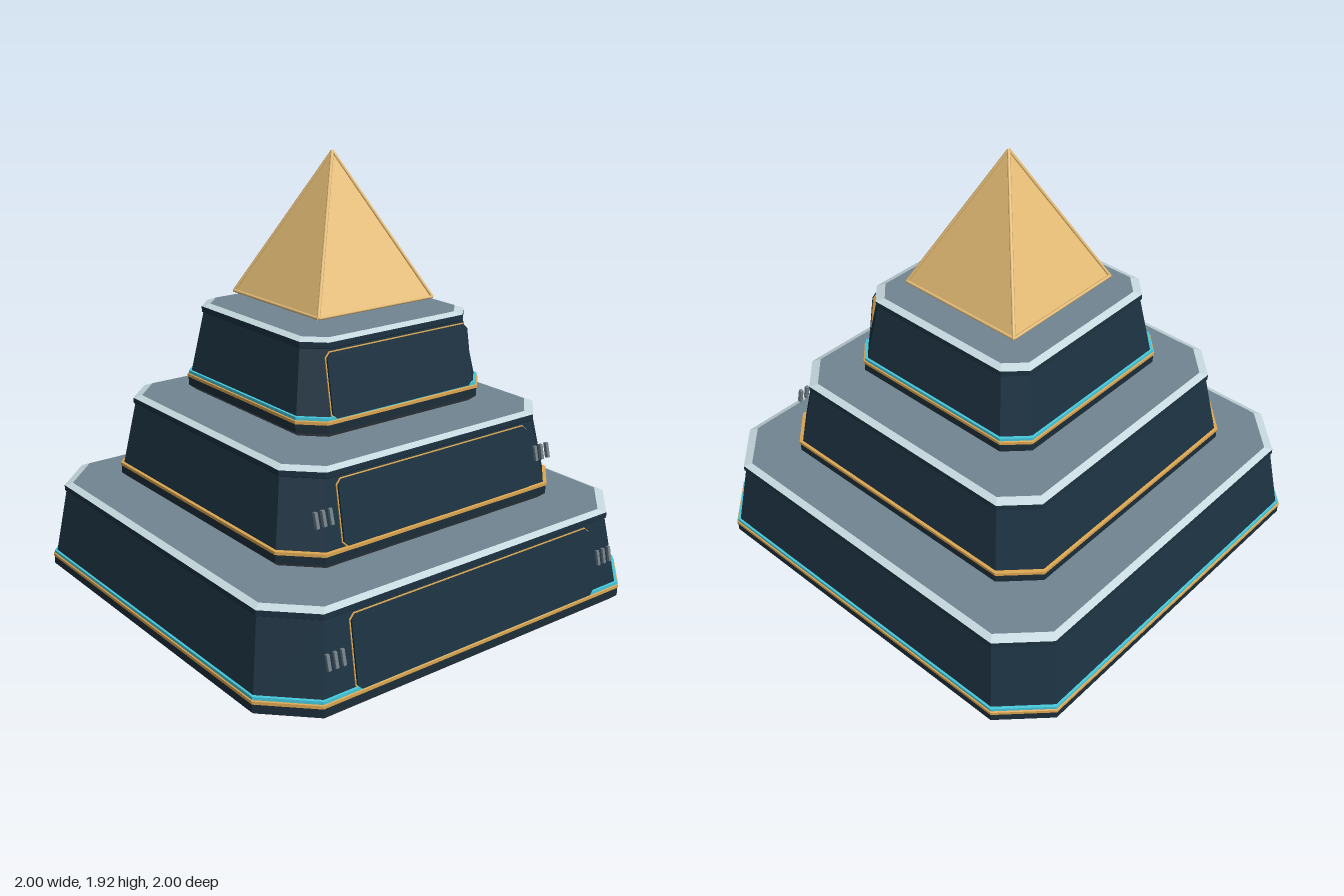
import * as THREE from 'three';

const mat = (name, color) => {
  const m = new THREE.MeshStandardMaterial({ color });
  m.name = name;
  return m;
};

// Chamfered-square ring of eight corners, counter-clockwise from above
function ring(h, y) {
  const k = h * 0.81;
  return [[-k, h], [k, h], [h, k], [h, -k], [k, -h], [-k, -h], [-h, -k], [-h, k]]
    .map(([x, z]) => [x, y, z]);
}

// Faceted loft through [halfWidth, height] pairs, with optional end faces
function loft(profile, capBottom = false, capTop = false) {
  const rings = profile.map(([h, y]) => ring(h, y));
  const pos = [];
  const tri = (a, b, c) => pos.push(...a, ...b, ...c);
  for (let r = 0; r < rings.length - 1; r++) {
    for (let i = 0; i < 8; i++) {
      const j = (i + 1) % 8, lo = rings[r], hi = rings[r + 1];
      tri(lo[i], lo[j], hi[j]);
      tri(lo[i], hi[j], hi[i]);
    }
  }
  const first = rings[0], last = rings[rings.length - 1];
  for (let i = 1; i < 7; i++) {
    if (capBottom) tri(first[0], first[i + 1], first[i]);
    if (capTop) tri(last[0], last[i], last[i + 1]);
  }
  const g = new THREE.BufferGeometry();
  g.setAttribute('position', new THREE.Float32BufferAttribute(pos, 3));
  g.computeVertexNormals();
  return g;
}

// Plate with clipped corners, centred on the origin
function plate(w, h, clip, depth) {
  const x = w / 2, y = h / 2;
  const pts = [[-x + clip, -y], [x - clip, -y], [x, -y + clip], [x, y - clip],
    [x - clip, y], [-x + clip, y], [-x, y - clip], [-x, -y + clip]];
  const shape = new THREE.Shape(pts.map(([a, b]) => new THREE.Vector2(a, b)));
  return new THREE.ExtrudeGeometry(shape, { depth, bevelEnabled: false });
}

export function createModel() {
  const navy = mat('navy panel', 0x1c3241);
  const dark = mat('dark plinth', 0x1c2d38);
  const under = mat('underside grey', 0x5c656e);
  const slate = mat('slate deck', 0x718592);
  const pale = mat('pale rim', 0xc6d9df);
  const gold = mat('gold', 0xe6bd77);
  const trim = mat('gold trim', 0xdca651);
  const cyan = mat('cyan line', 0x45c8dc);
  const grey = mat('vent grey', 0x74838c);

  const model = new THREE.Group();
  const add = (parent, name, geometry, material) => {
    const mesh = new THREE.Mesh(geometry, material);
    mesh.name = name;
    parent.add(mesh);
    return mesh;
  };

  // Three floating tiers: base height, total height, half width, panel half width
  const tiers = [
    { name: 'lowerTier', y: 0, height: 0.42, h: 0.998, panel: 0.65, glow: true, vent: 0.73 },
    { name: 'middleTier', y: 0.45, height: 0.39, h: 0.74, panel: 0.513, glow: false, vent: 0.588 },
    { name: 'upperTier', y: 0.87, height: 0.39, h: 0.495, panel: 0.378, glow: true, vent: 0 },
  ];
  for (const t of tiers) {
    const tier = new THREE.Group();
    tier.name = t.name;
    tier.position.y = t.y;
    model.add(tier);
    const { h, height: H } = t;
    const neck = H - 0.04, top = h - 0.055;

    // Plinth with bevelled foot
    add(tier, 'foot', loft([[h - 0.028, 0], [h - 0.003, 0.022]], true), under);
    add(tier, 'plinth', loft([[h - 0.003, 0.022], [h - 0.003, 0.058]]), dark);

    // Gold band, with a glowing line above it on two of the tiers
    const ledge = t.glow ? h - 0.005 : h - 0.013;
    add(tier, 'goldBand', loft([[h - 0.003, 0.058], [h, 0.059], [h, 0.072], [ledge, 0.074]]), trim);
    if (t.glow) {
      add(tier, 'lightBand', loft([[ledge, 0.074], [ledge, 0.087], [h - 0.015, 0.088]]), cyan);
    }

    // Sloping walls, cornice, pale rim and deck
    add(tier, 'walls', loft([[h - 0.012, 0.072], [top - 0.005, neck]]), navy);
    add(tier, 'cornice', loft([[top - 0.005, neck], [top, neck + 0.004], [top, H - 0.012]]), navy);
    add(tier, 'rim', loft([[top, H - 0.012], [top - 0.03, H]]), pale);
    add(tier, 'deck', loft([[top - 0.03, H], [top - 0.031, H]], false, true), slate);

    // Front panel with a thin gold outline, leaning with the wall
    const wallAngle = Math.atan2(0.048, neck - 0.072);
    const front = new THREE.Group();
    front.name = 'frontPanel';
    const mid = (0.07 + neck - 0.006) / 2;
    front.position.set(0, mid, h - 0.012 - (mid - 0.072) * Math.tan(wallAngle));
    front.rotation.x = -wallAngle;
    tier.add(front);
    const pw = t.panel * 2, ph = neck - 0.076;
    add(front, 'panelOutline', plate(pw, ph, 0.022, 0.004), trim);
    add(front, 'panelFace', plate(pw - 0.01, ph - 0.01, 0.02, 0.013), navy);

    // Three slim vent bars on either side of the panel
    if (t.vent) {
      for (const side of [-1, 1]) {
        for (let i = -1; i <= 1; i++) {
          const bar = add(front, 'ventBar', new THREE.BoxGeometry(0.014, 0.066, 0.016), grey);
          bar.position.set(side * t.vent + i * 0.035, 0, 0.004);
          bar.rotation.z = 0.06;
        }
      }
    }
  }

  // Floating golden capstone
  const capstone = new THREE.Group();
  capstone.name = 'capstone';
  model.add(capstone);
  const b = 0.304, y0 = 1.302, apex = 1.92;
  const pyramid = new THREE.ConeGeometry(b * Math.SQRT2, apex - y0, 4, 1).toNonIndexed();
  pyramid.rotateY(Math.PI / 4);
  pyramid.computeVertexNormals();
  add(capstone, 'pyramid', pyramid, gold).position.y = (apex + y0) / 2;

  // Slim ribs along the pyramid's edges
  const corners = [[b, b], [b, -b], [-b, -b], [-b, b]].map(([x, z]) => new THREE.Vector3(x, y0 + 0.006, z));
  const tip = new THREE.Vector3(0, apex, 0);
  const edge = (p, q) => {
    const d = q.clone().sub(p);
    const rod = add(capstone, 'edgeRib', new THREE.CylinderGeometry(0.007, 0.007, d.length(), 8), gold);
    rod.position.copy(p).add(q).multiplyScalar(0.5);
    rod.quaternion.setFromUnitVectors(new THREE.Vector3(0, 1, 0), d.normalize());
  };
  corners.forEach((c, i) => {
    edge(c, tip);
    edge(c, corners[(i + 1) % 4]);
  });
  return model;
}
